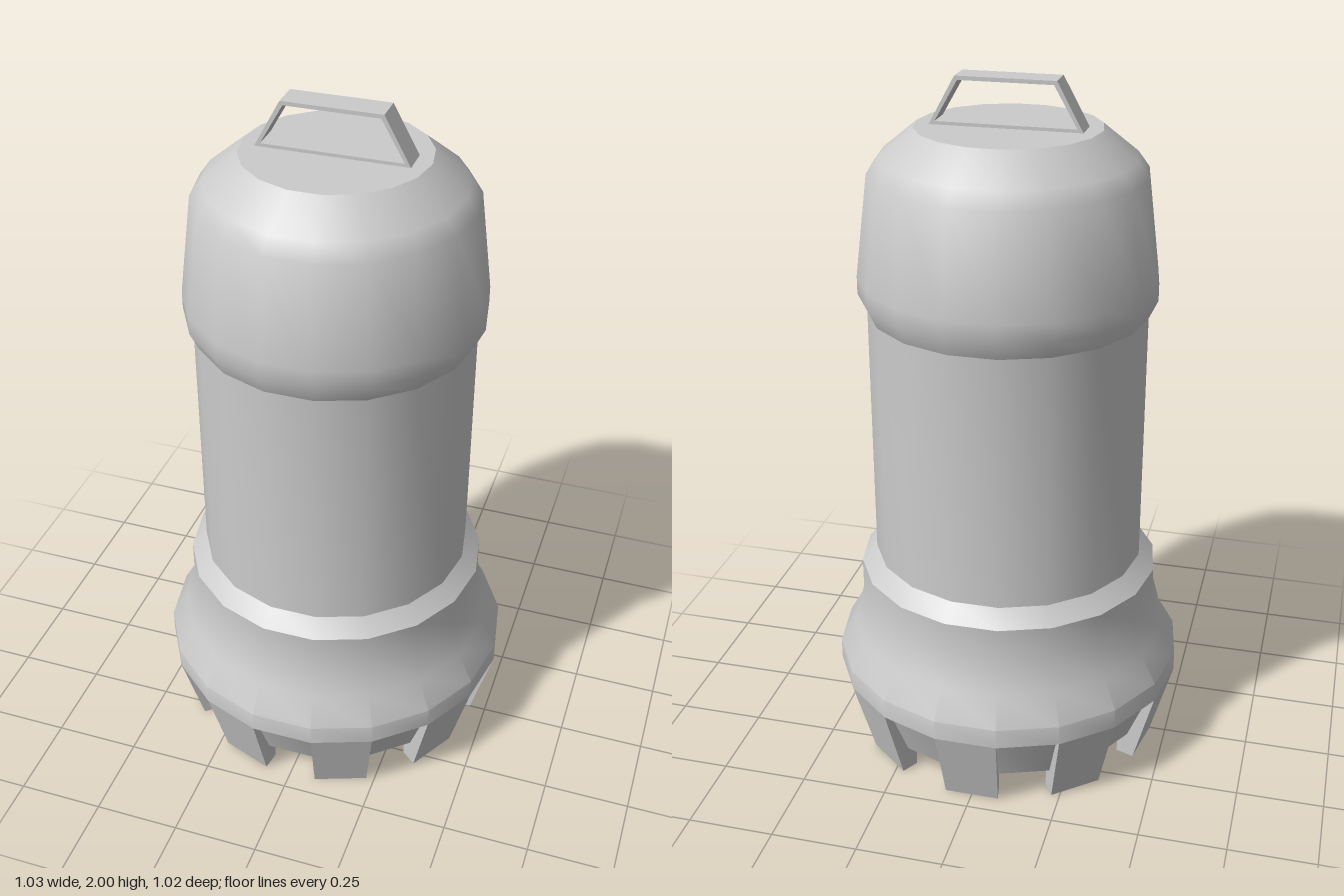
import * as THREE from 'three';
import { toCreasedNormals } from 'three/addons/utils/BufferGeometryUtils.js';
import { ConvexGeometry } from 'three/addons/geometries/ConvexGeometry.js';

const SIDES = 18;
const STEP = (Math.PI * 2) / SIDES;
const material = new THREE.MeshStandardMaterial({ color: 0xcccccc });

function addMesh(parent, geometry, name) {
  const mesh = new THREE.Mesh(geometry, material);
  mesh.name = name;
  parent.add(mesh);
  return mesh;
}

// Eighteen-sided turned part, with a corner on the +x axis
function turned(profile) {
  const points = profile.map(([r, y]) => new THREE.Vector2(r, y));
  return toCreasedNormals(new THREE.LatheGeometry(points, SIDES, Math.PI / 2), 0.6);
}

// One tapered tooth filling a single side of the polygon
function toothGeometry(startAngle) {
  const section = [[0.516, 0.228], [0.452, 0], [0.397, 0], [0.397, 0.228]];
  const corners = [];
  for (const a of [startAngle, startAngle + STEP]) {
    for (const [r, y] of section) {
      corners.push(new THREE.Vector3(r * Math.cos(a), y, r * Math.sin(a)));
    }
  }
  return new ConvexGeometry(corners);
}

// Closed trapezoid strap, flat in the xy plane
function handleGeometry() {
  const outline = (bottom, top, y0, y1) =>
    [[-bottom, y0], [bottom, y0], [top, y1], [-top, y1]].map(([x, y]) => new THREE.Vector2(x, y));
  const shape = new THREE.Shape(outline(0.212, 0.138, 1.865, 2));
  shape.holes.push(new THREE.Path(outline(0.194, 0.13, 1.877, 1.989)));
  const geometry = new THREE.ExtrudeGeometry(shape, { depth: 0.08, bevelEnabled: false });
  return geometry.translate(0, 0, -0.04);
}

export function createModel() {
  const group = new THREE.Group();
  group.name = 'canister';

  // Flared base with a recessed floor underneath
  addMesh(group, turned([
    [0, 0.11], [0.39, 0.11], [0.39, 0.072], [0.43, 0.072], [0.495, 0.228],
    [0.516, 0.228], [0.516, 0.287], [0.468, 0.37], [0.44, 0.476],
    [0.44, 0.567], [0.395, 0.614],
  ]), 'base');

  // Straight middle
  addMesh(group, turned([[0.395, 0.61], [0.395, 1.36]]), 'barrel');

  // Tapered cap with a domed shoulder and flat top
  addMesh(group, turned([
    [0.395, 1.357], [0.42, 1.41], [0.42, 1.46], [0.384, 1.746],
    [0.352, 1.79], [0.256, 1.868], [0, 1.868],
  ]), 'cap');

  // Teeth on every second side, one of them at the back
  const teeth = new THREE.Group();
  teeth.name = 'teeth';
  for (let i = 0; i < SIDES; i += 2) {
    addMesh(teeth, toothGeometry((i + 1) * STEP), 'tooth');
  }
  group.add(teeth);

  addMesh(group, handleGeometry(), 'handle');
  return group;
}
